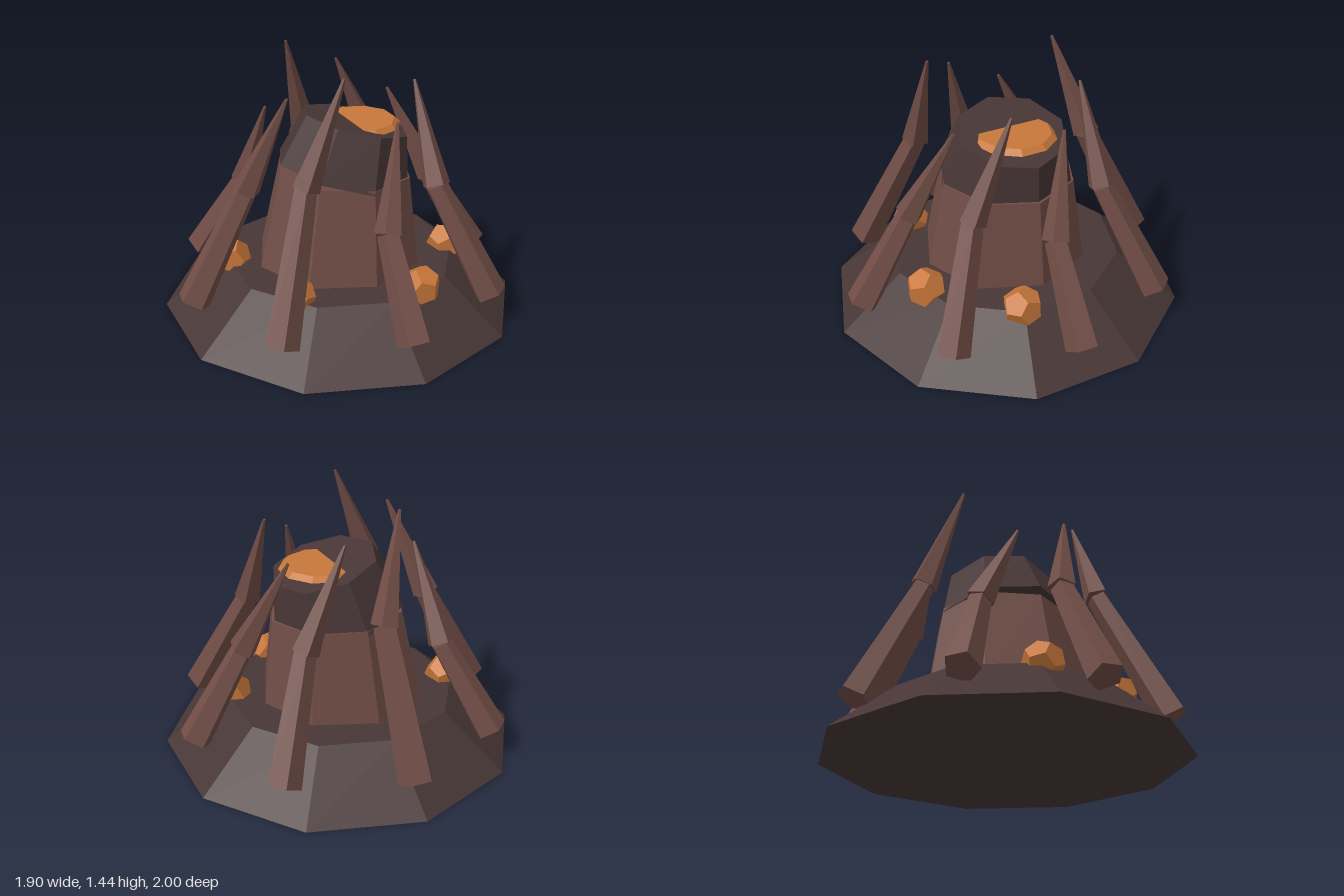
import * as THREE from 'three';

const material = (name, color) => {
  const m = new THREE.MeshStandardMaterial({ color });
  m.name = name;
  return m;
};

// Faceted copy so every face keeps its own normal
const faceted = (geometry) => {
  const g = geometry.index ? geometry.toNonIndexed() : geometry;
  g.computeVertexNormals();
  return g;
};

// Tapered prism whose axis runs from point a to point b, rolled about that axis
function taper(name, a, b, rA, rB, sides, mat, roll = 0) {
  const axis = b.clone().sub(a);
  const mesh = new THREE.Mesh(
    faceted(new THREE.CylinderGeometry(rB, rA, axis.length(), sides, 1, false, roll)), mat);
  mesh.name = name;
  mesh.position.copy(a).add(b).multiplyScalar(0.5);
  mesh.quaternion.setFromUnitVectors(new THREE.Vector3(0, 1, 0), axis.normalize());
  return mesh;
}

const v = (x, y, z) => new THREE.Vector3(x, y, z);

export function createModel() {
  const model = new THREE.Group();
  model.name = 'volcanicMound';
  const darkRock = material('dark rock', 0x483636);
  const brownRock = material('brown rock', 0x714d46);
  const orangeLava = material('orange lava', 0xc8773a);

  // Stacked mound: wide foot, leaning body, tilted cap
  model.add(taper('foot', v(0, 0, 0), v(0, 0.285, 0), 1, 0.65, 10, darkRock));
  model.add(taper('body', v(-0.01, 0.2, 0), v(0.025, 0.8, 0), 0.485, 0.38, 8, brownRock));
  model.add(taper('cap', v(0.02, 0.775, 0), v(0.095, 1.057, 0), 0.385, 0.3, 8, darkRock));

  // Level lava pool cutting through the tilted cap
  model.add(taper('lavaPool', v(0.115, 1.04, 0), v(0.115, 1.068, 0), 0.23, 0.2, 10, orangeLava));

  // Ring of jointed spikes; each tip twists an eighth of a turn forward
  const sizes = [0, 1, 0, 1, 2, 0, 1, 2];
  const twist = Math.PI / 8;
  const roll = 0.49;
  sizes.forEach((size, i) => {
    const foot = v(0, 0.165, 0.88);
    const joint = v(0, 0.65 + 0.12 * size, 0.58 - 0.03 * size);
    const tip = v(0.4 * Math.sin(twist), 1.16 + 0.14 * size, 0.4 * Math.cos(twist));
    const spike = new THREE.Group();
    spike.name = 'spike';
    spike.add(taper('spikeShaft', foot, joint, 0.093, 0.062, 5, brownRock, roll));
    spike.add(taper('spikeTip', joint, tip, 0.077, 0.008, 5, brownRock, roll));
    spike.rotation.y = (i * Math.PI) / 4;
    model.add(spike);
  });

  // Glowing boulders resting on the foot
  const boulders = [[0.2, 0.58], [0.585, 0.2], [-0.6, -0.16], [-0.45, 0.4]];
  boulders.forEach(([x, z], i) => {
    const boulder = new THREE.Mesh(
      faceted(new THREE.DodecahedronGeometry(0.112)), orangeLava);
    boulder.name = 'boulder';
    boulder.position.set(x, 0.3, z);
    boulder.rotation.set(0.4 * i, 0.9 * i + 0.3, 0.2 * i);
    model.add(boulder);
  });

  return model;
}
